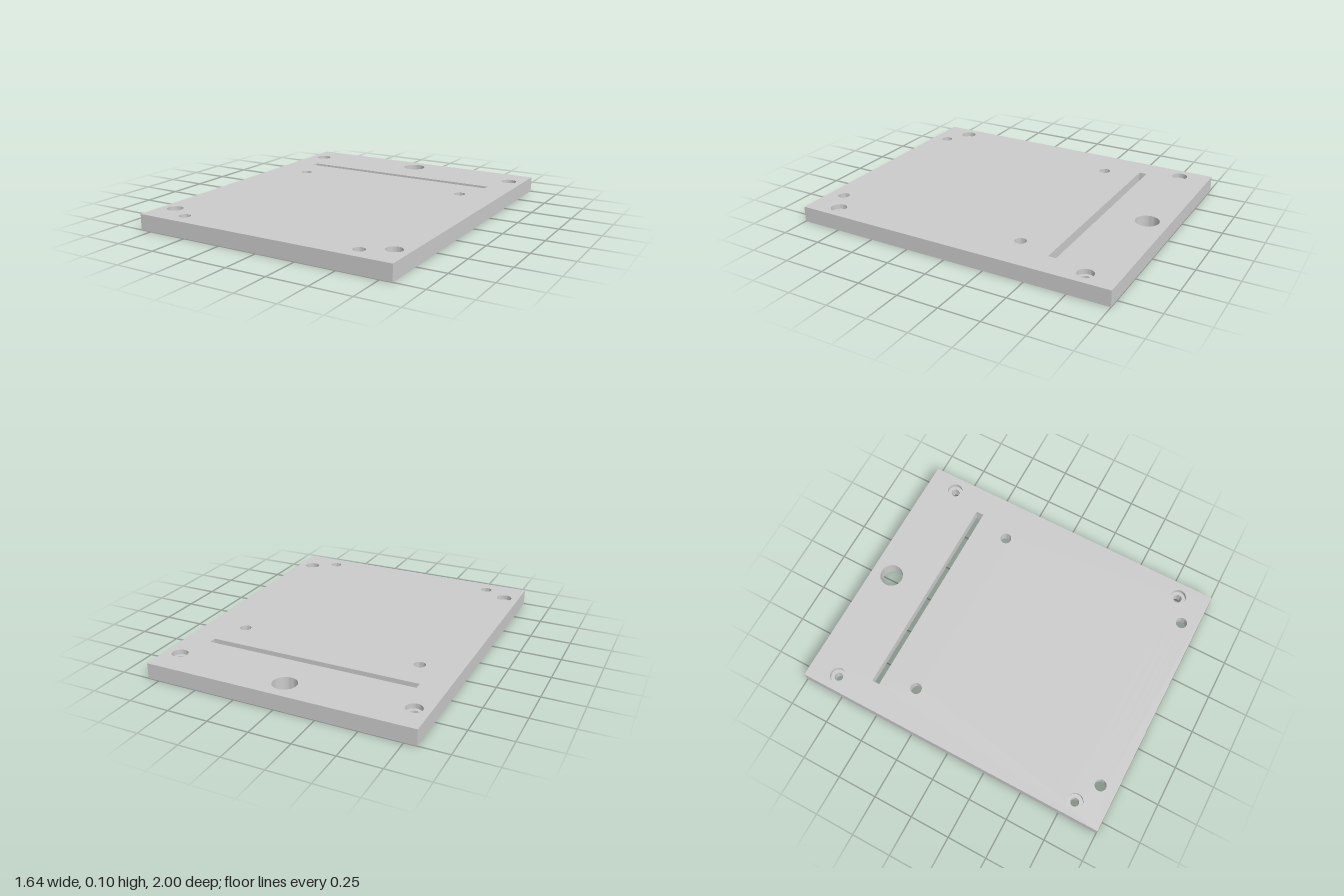
import * as THREE from 'three';
import { toCreasedNormals } from 'three/addons/utils/BufferGeometryUtils.js';

const W = 0.822, D = 1, H = 0.096;   // half width, half depth, thickness
const STEP = 0.03;                   // depth of the counterbores
const material = new THREE.MeshStandardMaterial({ color: 0xcccccc, side: THREE.DoubleSide });

// Round holes: centre, radius at the bottom face, in the middle and at the top face
const bores = [{ name: 'hangingHole', x: 0, z: -0.87, bottom: 0.072, mid: 0.072, top: 0.072 }];
for (const side of [-1, 1]) {
  for (const z of [-0.815, 0.81]) {
    bores.push({ name: 'cornerScrewHole', x: side * 0.73, z, bottom: 0.026, mid: 0.026, top: 0.048 });
  }
  for (const z of [-0.35, 0.9]) {
    bores.push({ name: 'mountingHole', x: side * 0.577, z, bottom: 0.07, mid: 0.035, top: 0.035 });
  }
}

// Slot: wider towards the back on the underside
const slotTop = [-0.66, 0.66, -0.611, -0.563];
const slotBottom = [-0.66, 0.66, -0.656, -0.563];

const corners = ([x0, x1, z0, z1]) => [[x0, z0], [x0, z1], [x1, z1], [x1, z0]];

// Flat face of the plate with its openings
function face(y, up, slot, radiusKey) {
  const toShape = (path, rect) =>
    path.setFromPoints(corners(rect).map(([x, z]) => new THREE.Vector2(x, -z)));
  const shape = toShape(new THREE.Shape(), [-W, W, -D, D]);
  shape.holes.push(toShape(new THREE.Path(), slot));
  for (const b of bores) {
    shape.holes.push(new THREE.Path().absarc(b.x, -b.z, b[radiusKey], 0, Math.PI * 2, true));
  }
  const g = new THREE.ShapeGeometry(shape, 24);
  if (!up) {
    const index = g.index.array;
    for (let i = 0; i < index.length; i += 3) [index[i], index[i + 1]] = [index[i + 1], index[i]];
    g.computeVertexNormals();
  }
  return g.rotateX(-Math.PI / 2).translate(0, y, 0);
}

// Four-sided walls through a list of [rectangle, height] sections
function walls(sections) {
  const pos = [];
  for (let s = 0; s < sections.length - 1; s++) {
    const [ra, ya] = sections[s], [rb, yb] = sections[s + 1];
    const a = corners(ra), b = corners(rb);
    for (let i = 0; i < 4; i++) {
      const j = (i + 1) % 4;
      const p = [a[i][0], ya, a[i][1]], q = [a[j][0], ya, a[j][1]];
      const r = [b[j][0], yb, b[j][1]], t = [b[i][0], yb, b[i][1]];
      pos.push(...p, ...q, ...r, ...p, ...r, ...t);
    }
  }
  const g = new THREE.BufferGeometry();
  g.setAttribute('position', new THREE.Float32BufferAttribute(pos, 3));
  g.computeVertexNormals();
  return g;
}

// Stepped round hole lining
function boreLining(b) {
  const profile = [[b.bottom, 0]];
  if (b.bottom !== b.mid) profile.push([b.bottom, STEP], [b.mid, STEP]);
  if (b.top !== b.mid) profile.push([b.mid, H - STEP], [b.top, H - STEP]);
  profile.push([b.top, H]);
  const g = new THREE.LatheGeometry(profile.map(([r, y]) => new THREE.Vector2(r, y)), 48);
  return toCreasedNormals(g, 0.6).translate(b.x, 0, b.z);
}

export function createModel() {
  const model = new THREE.Group();
  model.name = 'mountingPlate';
  const add = (name, geometry) => {
    const mesh = new THREE.Mesh(geometry, material);
    mesh.name = name;
    model.add(mesh);
  };

  // Plate surfaces
  add('topFace', face(H, true, slotTop, 'top'));
  add('bottomFace', face(0, false, slotBottom, 'bottom'));
  add('outerEdge', walls([[[-W, W, -D, D], 0], [[-W, W, -D, D], H]]));

  // Slot lining with its ledge
  add('slot', walls([[slotBottom, 0], [slotBottom, STEP]]));
  add('slotLedge', walls([[slotBottom, STEP], [slotTop, STEP]]));
  add('slotNeck', walls([[slotTop, STEP], [slotTop, H]]));

  // Hole linings
  for (const b of bores) add(b.name, boreLining(b));
  return model;
}
